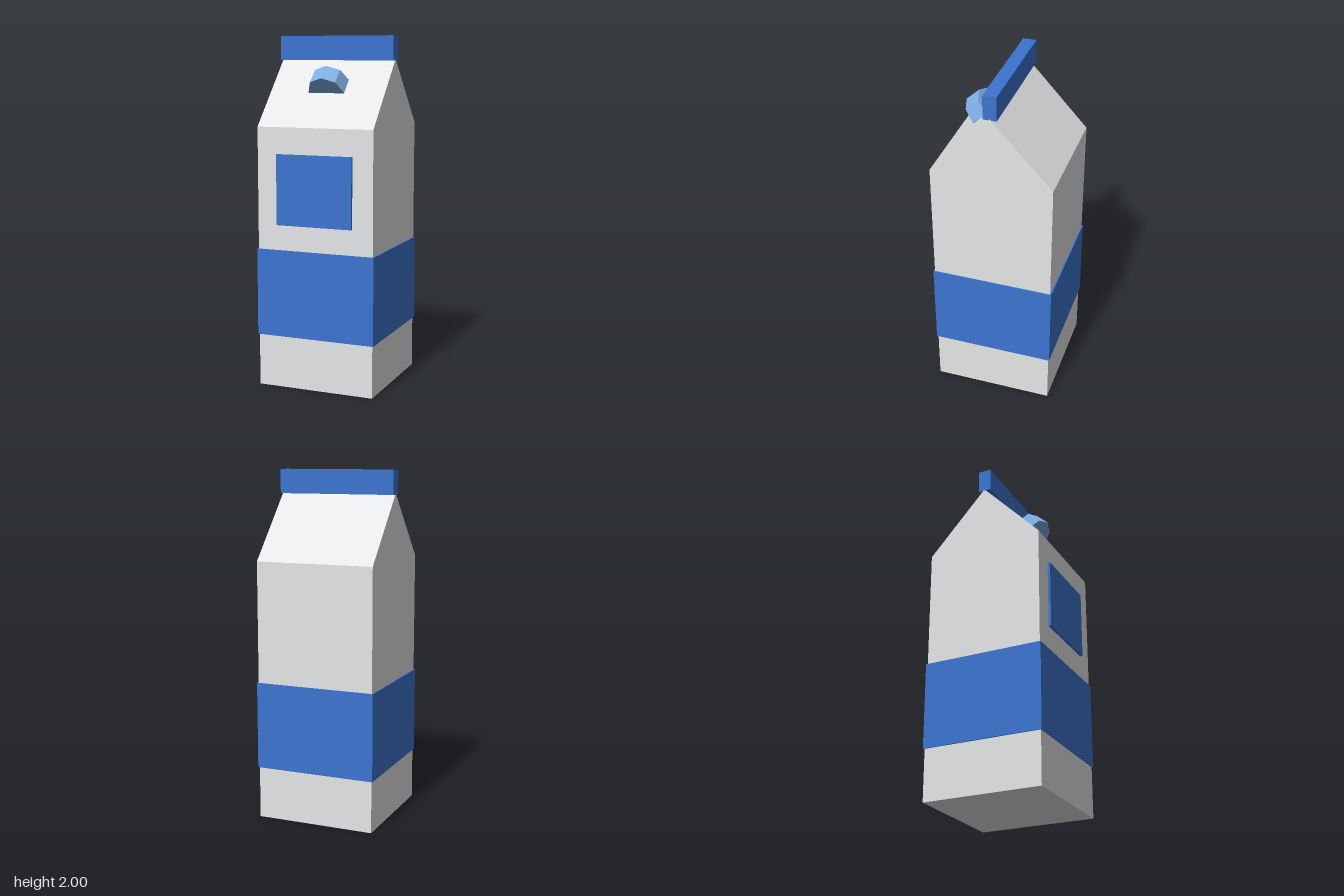
import * as THREE from 'three';

export function createModel() {
  const carton = new THREE.Group();
  carton.name = 'carton';

  const material = (name, color) => {
    const m = new THREE.MeshStandardMaterial({ color });
    m.name = name;
    return m;
  };
  const card = material('off-white card', 0xe6e7e8);
  const blue = material('blue', 0x3c74d1);
  const lightBlue = material('light blue', 0x85b5ef);

  const add = (name, geometry, mat, x, y, z) => {
    const mesh = new THREE.Mesh(geometry, mat);
    mesh.name = name;
    mesh.position.set(x, y, z);
    carton.add(mesh);
    return mesh;
  };

  const half = 0.347;   // half width of the carton
  const eaves = 1.495;  // where the walls end
  const apex = 1.87;    // top of the gable
  const zMid = -0.005;  // carton centre, offset for the front label

  // Body with gable roof: a house-shaped profile (z, y) extruded along x
  const profile = new THREE.Shape([
    [-half, 0], [half, 0], [half, eaves], [0, apex], [-half, eaves],
  ].map(([x, y]) => new THREE.Vector2(x, y)));
  const bodyGeometry = new THREE.ExtrudeGeometry(profile, { depth: 2 * half, bevelEnabled: false });
  bodyGeometry.translate(0, 0, -half).rotateY(Math.PI / 2);
  add('body', bodyGeometry, card, 0, 0, zMid);

  // Sealed ridge on top
  add('ridge', new THREE.BoxGeometry(2 * half, 0.138, 0.076), blue, 0, 1.931, zMid);

  // Band wrapped around the body
  add('band', new THREE.BoxGeometry(0.708, 0.5, 0.708), blue, 0, 0.55, zMid);

  // Label on the front
  add('frontLabel', new THREE.BoxGeometry(0.452, 0.4, 0.03), blue, 0, 1.145, 0.342);

  // Eight-sided spout lying half sunk in the front roof slope
  const spoutGeometry = new THREE.CylinderGeometry(0.108, 0.108, 0.1, 8).toNonIndexed();
  spoutGeometry.computeVertexNormals();
  const spout = add('spout', spoutGeometry, lightBlue, 0, 1.719, 0.138);
  spout.rotation.x = -Math.atan2(half, apex - eaves) - 0.078;

  return carton;
}
